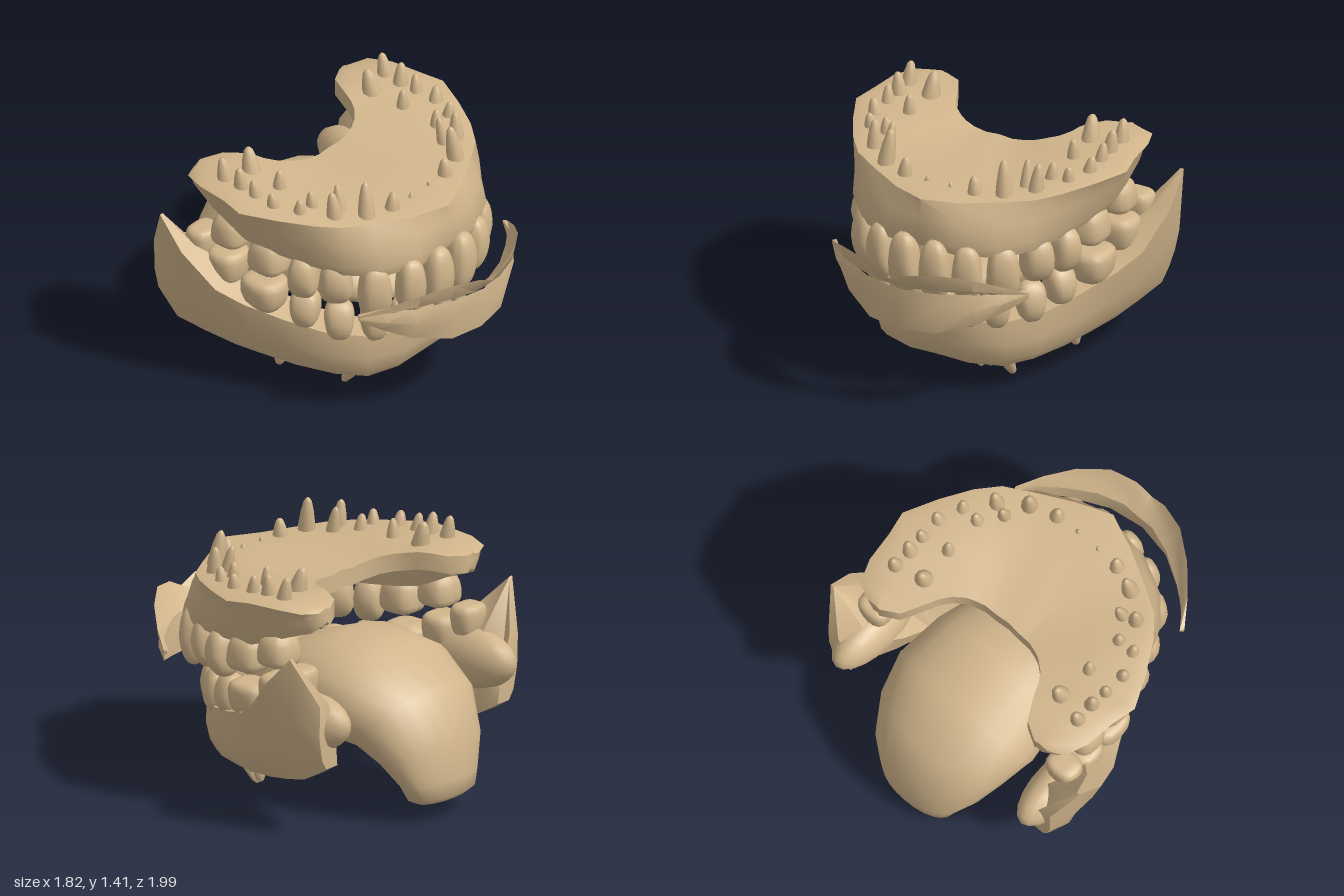
import * as THREE from 'three';
import { toCreasedNormals } from 'three/addons/utils/BufferGeometryUtils.js';

const V = (x, y, z) => new THREE.Vector3(x, y, z);
const bone = new THREE.MeshStandardMaterial({ color: 0xd2b68c });
bone.name = 'bone tan';

// Skin a list of closed rings, cap both ends, and make the faces point outward.
function loft(rings, crease = 0.8) {
  const n = rings[0].length, pts = rings.flat(), idx = [];
  for (let i = 0; i < rings.length - 1; i++) {
    for (let j = 0; j < n; j++) {
      const a = i * n + j, b = i * n + (j + 1) % n;
      idx.push(a, b, b + n, a, b + n, a + n);
    }
  }
  [0, rings.length - 1].forEach((r, end) => {
    const c = rings[r].reduce((s, p) => s.add(p), V(0, 0, 0)).divideScalar(n);
    pts.push(c);
    for (let j = 0; j < n; j++) {
      const a = r * n + j, b = r * n + (j + 1) % n;
      idx.push(pts.length - 1, ...(end ? [a, b] : [b, a]));
    }
  });
  let volume = 0;
  for (let i = 0; i < idx.length; i += 3) {
    volume += pts[idx[i]].dot(V(0, 0, 0).crossVectors(pts[idx[i + 1]], pts[idx[i + 2]]));
  }
  if (volume < 0) idx.reverse();
  const g = new THREE.BufferGeometry().setFromPoints(pts);
  g.setIndex(idx);
  return toCreasedNormals(g, crease);
}

// Continue rings given from the middle outwards to the other side.
function mirrored(half) {
  const other = half.slice(1).reverse().map(r => r.map(p => V(-p.x, p.y, p.z)));
  return [...other, ...half];
}

const soft = (v, e) => Math.sign(v) * Math.pow(Math.abs(v), e);

// Rounded tooth: crown at +y, narrower at the root, optional cusps.
function toothGeometry(w, h, d, molar) {
  const g = new THREE.SphereGeometry(1, 16, 12), p = g.attributes.position;
  for (let i = 0; i < p.count; i++) {
    let x = soft(p.getX(i), 0.75), y = soft(p.getY(i), 0.75), z = soft(p.getZ(i), 0.75);
    const taper = 0.9 + 0.1 * y;
    if (molar && y > 0.3) y -= 0.25 * (1 - Math.min(1, x * x + z * z));
    if (!molar && y > 0) z *= 1 - 0.35 * y;
    p.setXYZ(i, x * taper * w / 2, y * h / 2, z * taper * d / 2);
  }
  g.computeVertexNormals();
  return g;
}

// Root peg with a rounded tip, standing on the origin.
const pegGeometry = new THREE.LatheGeometry(
  [[1, 0], [0.92, 0.3], [0.7, 0.65], [0.45, 0.9], [0.2, 0.98], [0, 1]].map(p => new THREE.Vector2(...p)), 10);

export function createModel() {
  const model = new THREE.Group();
  const add = (name, geometry, parent = model) => {
    const m = new THREE.Mesh(geometry, bone);
    m.name = name;
    parent.add(m);
    return m;
  };
  const group = name => {
    const g = new THREE.Group();
    g.name = name;
    model.add(g);
    return g;
  };

  // Upper gum and palate: outer x, z, inner x, z, top y, bottom y, inset at the bottom
  const upper = [
    [0, .68, 0, -.16, 1.21, .92, -.01], [.2, .6, .08, -.165, 1.2, .92, -.1],
    [.4, .49, .16, -.17, 1.21, .91, -.11], [.55, .4, .22, -.19, 1.22, .92, -.04],
    [.65, .28, .26, -.21, 1.23, .93, .03], [.75, .11, .32, -.26, 1.24, .95, .08],
    [.84, -.08, .36, -.32, 1.25, .98, .12], [.81, -.22, .38, -.37, 1.26, 1.02, .08],
    [.79, -.4, .41, -.43, 1.26, 1.08, .07], [.74, -.53, .46, -.52, 1.25, 1.12, .05],
    [.65, -.57, .56, -.575, 1.24, 1.16, .01],
  ].map(([xo, zo, xi, zi, top, bottom, inset], i) => {
    const width = Math.hypot(xi - xo, zi - zo);
    const at = (d, y) => {
      const t = Math.min(d / width, 0.92);
      return V(xo + (xi - xo) * t, y, zo + (zi - zo) * t);
    };
    const mid = (top + bottom) / 2, dome = i < 4 ? 0.01 : 0.018;
    return [at(0, top), at(inset * 0.5, mid + .04), at(inset * 0.85, bottom + .06), at(inset + .03, bottom),
      at(inset + .22, bottom + .02), at(inset + .28, mid + .03),
      V(xi, top - .09, zi), V(xi, top + .01, zi), at(width * 0.55, top + dome), at(.07, top + dome)];
  });
  add('upperGum', loft(mirrored(upper)));

  // Lower jaw: outer top x, z, y, outer bottom x, z, y, thickness at top, middle and bottom
  const lower = [
    [0, .58, .45, 0, .49, .18, .18, .22, .19], [.2, .55, .45, .18, .48, .17, .18, .22, .19],
    [.4, .45, .46, .36, .42, .17, .19, .22, .18], [.54, .28, .48, .47, .28, .18, .2, .23, .17],
    [.65, .08, .53, .55, .08, .19, .2, .24, .16], [.76, -.12, .6, .61, -.1, .21, .22, .25, .15],
    [.84, -.25, .68, .67, -.25, .24, .24, .28, .14], [.91, -.43, .88, .72, -.42, .28, .1, .3, .14],
    [.9, -.59, 1.05, .77, -.58, .33, .02, .25, .13], [.8, -.72, .78, .74, -.71, .41, .07, .1, .09],
  ].map(([xt, zt, yt, xb, zb, yb, tt, tm, tb]) => {
    const dir = zt > 0 ? V(-xt, 0, -zt).normalize() : V(-1, 0, 0);
    const a = V(xt, yt, zt), c = V(xb, yb, zb);
    const b = a.clone().lerp(c, 0.5).addScaledVector(dir, -.03);
    const low = a.clone().lerp(c, 0.85).addScaledVector(dir, -.025);
    return [a, b, low, c, c.clone().addScaledVector(dir, tb),
      b.clone().addScaledVector(dir, tm + .03), a.clone().addScaledVector(dir, tt)];
  });
  add('lowerJaw', loft(mirrored(lower)));

  // Gum ridges on the inner rear of the jaw
  const ridges = group('jawRidges');
  for (const s of [1, -1]) {
    const k = add('jawRidge', new THREE.SphereGeometry(1, 20, 14), ridges);
    k.position.set(s * .67, .62, -.5);
    k.scale.set(.13, .17, .31);
    k.rotation.x = .12;
  }

  // Teeth: x, z, low y, high y, width, depth, molar
  const upperTeeth = [
    [.095, .69, .64, .99, .19, .17], [.265, .64, .66, .98, .18, .17], [.42, .52, .64, .97, .2, .19],
    [.52, .33, .7, .97, .2, .22], [.59, .16, .7, .97, .18, .23],
    [.62, -.05, .77, 1.01, .25, .25, 1], [.65, -.29, .86, 1.08, .23, .25, 1],
  ];
  const lowerTeeth = [
    [.07, .55, .42, .65, .14, .14], [.205, .52, .42, .65, .14, .14], [.34, .45, .42, .67, .17, .17],
    [.47, .31, .43, .67, .18, .19], [.55, .14, .48, .71, .18, .21],
    [.63, -.08, .53, .77, .28, .25, 1], [.66, -.31, .62, .87, .23, .25, 1],
    [.68, -.47, .72, .95, .18, .22, 1],
  ];
  function placeTeeth(list, name, flip) {
    const teeth = group(name + 's');
    for (const [x, z, y0, y1, w, d, molar] of list) {
      const g = toothGeometry(w, y1 - y0, d, molar);
      if (flip) g.rotateX(Math.PI);
      for (const s of [1, -1]) {
        const t = add(name, g, teeth);
        t.position.set(s * x, (y0 + y1) / 2, z);
        t.rotation.y = s * (z > 0 ? Math.atan2(x, z + .1) : Math.PI / 2);
      }
    }
  }
  placeTeeth(upperTeeth, 'upperTooth', true);
  placeTeeth(lowerTeeth, 'lowerTooth', false);

  // Root pegs: base x, y, z, tip x, y, z, radius
  const upperPegs = [
    [.66, 1.24, -.33, .66, 1.4, -.36, .045], [.5, 1.22, -.28, .49, 1.4, -.32, .056],
    [.65, 1.22, -.22, .67, 1.39, -.23, .047], [.66, 1.22, -.11, .67, 1.36, -.13, .04],
    [.51, 1.21, -.08, .51, 1.36, -.08, .04], [.66, 1.2, .02, .68, 1.34, .01, .045],
    [.61, 1.19, .15, .62, 1.33, .16, .042], [.51, 1.19, .16, .52, 1.33, .15, .042],
    [.43, 1.18, .29, .42, 1.37, .25, .04], [.5, 1.18, .31, .51, 1.38, .29, .047],
    [.37, 1.18, .42, .35, 1.41, .39, .05], [.22, 1.18, .47, .21, 1.31, .47, .045],
    [.08, 1.18, .48, .07, 1.24, .48, .02],
  ];
  const lowerPegs = [
    [.53, .24, -.04, .54, .13, -.06, .045], [.43, .23, .15, .44, .13, .07, .05],
    [.3, .22, .33, .29, 0, .18, .047], [.2, .22, .38, .2, .06, .26, .032],
    [.12, .22, .4, .13, .03, .24, .032], [.05, .22, .4, .05, .03, .24, .03],
  ];
  function placePegs(list, name) {
    const pegs = group(name + 's');
    for (const [x, y, z, tx, ty, tz, r] of list) {
      for (const s of [1, -1]) {
        const m = add(name, pegGeometry, pegs), axis = V(s * (tx - x), ty - y, tz - z);
        m.position.set(s * x, y, z);
        m.scale.set(r, axis.length(), r);
        m.quaternion.setFromUnitVectors(V(0, 1, 0), axis.normalize());
      }
    }
  }
  placePegs(upperPegs, 'upperRoot');
  placePegs(lowerPegs, 'lowerRoot');

  // Lips: x, then y and z of the free edge, the middle and the inner edge
  const lip = rows => loft(mirrored(rows.map(([x, ya, za, yb, zb, yc, zc]) =>
    [V(x, ya, za), V(x, yb, zb), V(x, yc, zc), V(x * .98, yb + .005, zb - .025)])));
  add('upperLip', lip([
    [0, .86, .99, .82, .96, .77, .88], [.1, .91, .985, .82, .955, .78, .88],
    [.25, .93, .94, .83, .915, .78, .83], [.4, .89, .83, .81, .81, .77, .74],
    [.52, .82, .7, .78, .695, .755, .65], [.61, .75, .575, .745, .575, .74, .57],
  ]));
  add('lowerLip', lip([
    [0, .53, .915, .68, .935, .78, .93], [.2, .535, .88, .68, .9, .78, .885],
    [.4, .59, .76, .69, .8, .77, .765], [.52, .655, .65, .715, .69, .76, .66],
    [.61, .72, .57, .735, .575, .75, .57],
  ]));

  // Tongue: z, y, half width, half thickness, backward tilt
  const tongue = [
    [.38, .56, .12, .05, 0], [.3, .57, .25, .1, 0], [.05, .61, .37, .21, 0], [-.25, .64, .44, .29, .05],
    [-.5, .61, .47, .29, .35], [-.68, .52, .42, .26, .8], [-.8, .36, .35, .19, 1.2],
    [-.86, .21, .27, .14, 1.45], [-.88, .13, .24, .115, 1.5], [-.88, .1, .18, .08, 1.5],
  ].map(([z, y, w, t, tilt]) => Array.from({ length: 24 }, (_, i) => {
    const a = i / 24 * Math.PI * 2, up = soft(Math.sin(a), 0.95) * t;
    return V(soft(Math.cos(a), 0.95) * w, y + up * Math.cos(tilt), z - up * Math.sin(tilt));
  }));
  add('tongue', loft(tongue, 1.0));

  return model;
}
